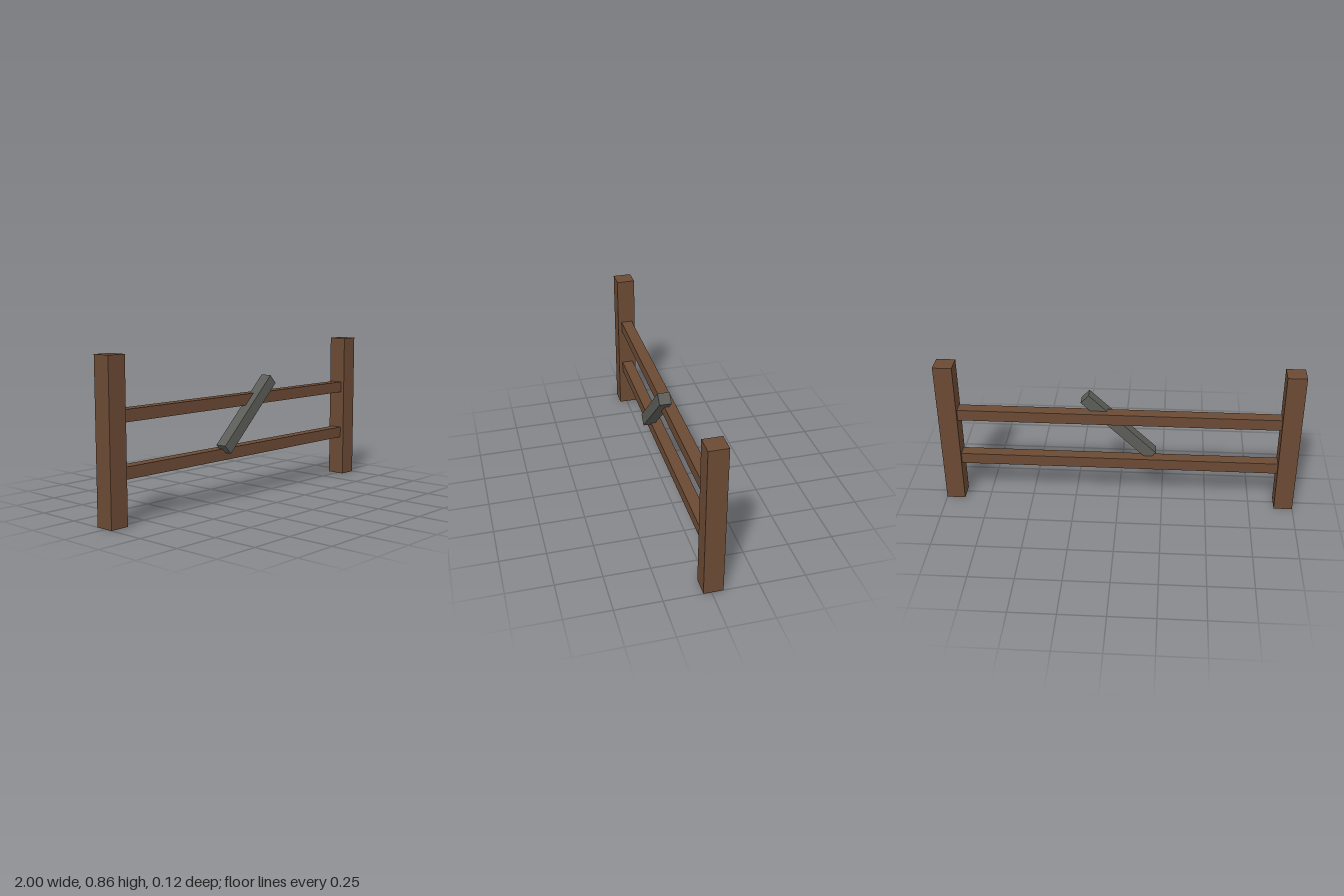
import * as THREE from 'three';

export function createModel() {
  const group = new THREE.Group();
  const wood = new THREE.MeshStandardMaterial({ color: 0x6b4a34 });
  const grey = new THREE.MeshStandardMaterial({ color: 0x5c5c58 });

  const addBox = (name, material, size, position) => {
    const mesh = new THREE.Mesh(new THREE.BoxGeometry(...size), material);
    mesh.name = name;
    mesh.position.set(...position);
    group.add(mesh);
    return mesh;
  };

  // Upright posts
  for (const [name, side] of [['leftPost', 1], ['rightPost', -1]]) {
    addBox(name, wood, [0.105, 0.855, 0.105], [side * 0.9475, 0.4275, -0.0095]);
  }

  // Horizontal rails, let into the posts
  for (const [name, y] of [['lowerRail', 0.264], ['upperRail', 0.55]]) {
    addBox(name, wood, [1.86, 0.064, 0.065], [0, y, -0.0105]);
  }

  // Slanted brace across the front of the rails
  const brace = addBox('diagonalBrace', grey, [0.52, 0.065, 0.066], [0, 0.475, 0.029]);
  brace.rotation.z = THREE.MathUtils.degToRad(43.8);

  return group;
}
